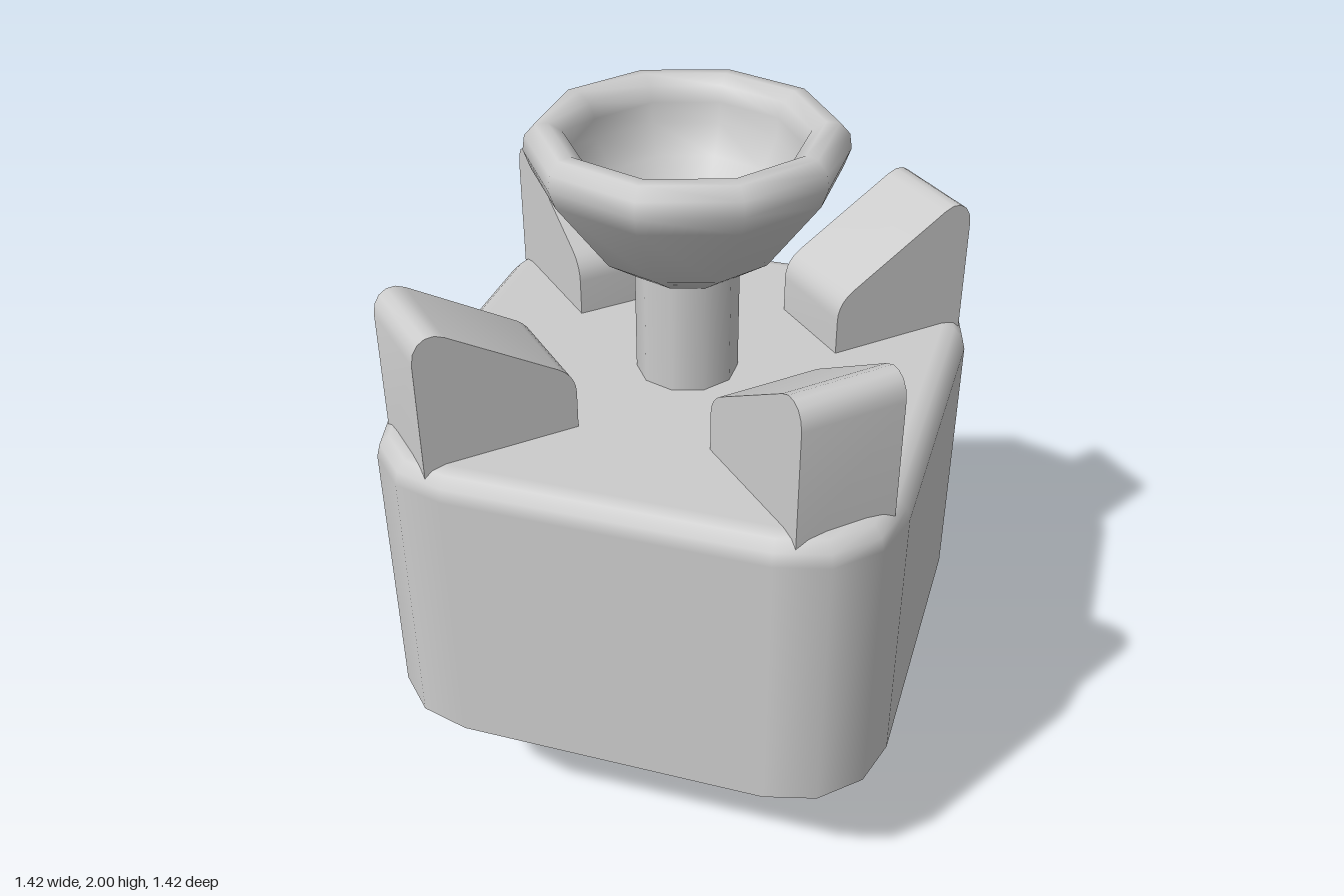
import * as THREE from 'three';
import { toCreasedNormals } from 'three/addons/utils/BufferGeometryUtils.js';

const material = new THREE.MeshStandardMaterial({ color: 0xcccccc });

function addMesh(parent, name, geometry) {
  const mesh = new THREE.Mesh(geometry, material);
  mesh.name = name;
  parent.add(mesh);
  return mesh;
}

function lathe(profile, sides, start = 0) {
  return new THREE.LatheGeometry(profile.map(([r, y]) => new THREE.Vector2(r, y)), sides, start);
}

// Square block with rounded corners, a rounded top edge and a sharp bottom
function roundedBlock(half, radius, bevel, y0, y1) {
  const c = half - radius, steps = 3, perRing = 4 * (steps + 1);
  const pos = [], nor = [], idx = [];
  const addRing = (y, r, tilt) => {
    for (let q = 0; q < 4; q++) {
      for (let s = 0; s <= steps; s++) {
        const a = (q + s / steps) * Math.PI / 2;
        const cx = q === 0 || q === 3 ? c : -c, cz = q < 2 ? c : -c;
        pos.push(cx + r * Math.cos(a), y, cz + r * Math.sin(a));
        nor.push(Math.cos(a) * Math.cos(tilt), Math.sin(tilt), Math.sin(a) * Math.cos(tilt));
      }
    }
  };
  addRing(y0, radius, 0);
  for (let i = 0; i <= 3; i++) {
    const t = i * Math.PI / 6;
    addRing(y1 - bevel + bevel * Math.sin(t), radius - bevel + bevel * Math.cos(t), t);
  }
  for (let r = 0; r < 4; r++) {
    for (let i = 0; i < perRing; i++) {
      const j = (i + 1) % perRing;
      const a = r * perRing + i, b = r * perRing + j;
      idx.push(a, a + perRing, b, b, a + perRing, b + perRing);
    }
  }
  // Flat bottom and top caps
  addRing(y0, radius, -Math.PI / 2);
  const bottom = 5 * perRing, top = 4 * perRing;
  for (let i = 1; i < perRing - 1; i++) {
    idx.push(bottom, bottom + i, bottom + i + 1);
    idx.push(top, top + i + 1, top + i);
  }
  const g = new THREE.BufferGeometry();
  g.setAttribute('position', new THREE.Float32BufferAttribute(pos, 3));
  g.setAttribute('normal', new THREE.Float32BufferAttribute(nor, 3));
  g.setIndex(idx);
  return g;
}

// Upright fin: tall at the outer end, sloping down towards the centre
function finGeometry() {
  const inner = 0.395, outer = 0.82, width = 0.283;
  const s = new THREE.Shape();
  s.moveTo(inner, 1.22);
  s.lineTo(outer, 1.22);
  s.lineTo(outer, 1.59);
  s.bezierCurveTo(outer, 1.645, 0.775, 1.675, 0.73, 1.645);
  s.lineTo(0.44, 1.47);
  s.quadraticCurveTo(inner, 1.44, inner, 1.39);
  s.closePath();
  const g = new THREE.ExtrudeGeometry(s, { depth: width, bevelEnabled: false, curveSegments: 5 });
  g.translate(0, 0, -width / 2);
  return toCreasedNormals(g, 0.7);
}

export function createModel() {
  const model = new THREE.Group();
  model.name = 'model';

  addMesh(model, 'body', roundedBlock(0.71, 0.28, 0.07, 0.43, 1.285));

  // Nine-sided hollow foot
  addMesh(model, 'foot', lathe([
    [0, 0.24], [0.1, 0.21], [0.15, 0.13], [0.175, 0.05], [0.21, 0.012], [0.25, 0],
    [0.3, 0.012], [0.34, 0.045], [0.355, 0.09], [0.357, 0.14], [0.357, 0.44],
  ], 9, Math.PI / 2));

  // Stem carrying a ten-sided open cup
  addMesh(model, 'stem', lathe([[0.14, 1.26], [0.14, 1.63]], 10));
  addMesh(model, 'cup', lathe([
    [0, 1.6], [0.15, 1.602], [0.25, 1.67], [0.4, 1.875], [0.418, 1.925], [0.412, 1.965],
    [0.385, 1.995], [0.35, 1.997], [0.315, 1.975], [0.297, 1.935],
    [0.295, 1.88], [0.25, 1.8], [0.17, 1.72], [0.09, 1.68], [0, 1.67],
  ], 10));

  // Four fins, one on each corner
  const fin = finGeometry();
  for (let i = 0; i < 4; i++) {
    addMesh(model, 'fin' + (i + 1), fin).rotation.y = Math.PI / 4 + i * Math.PI / 2;
  }
  return model;
}
